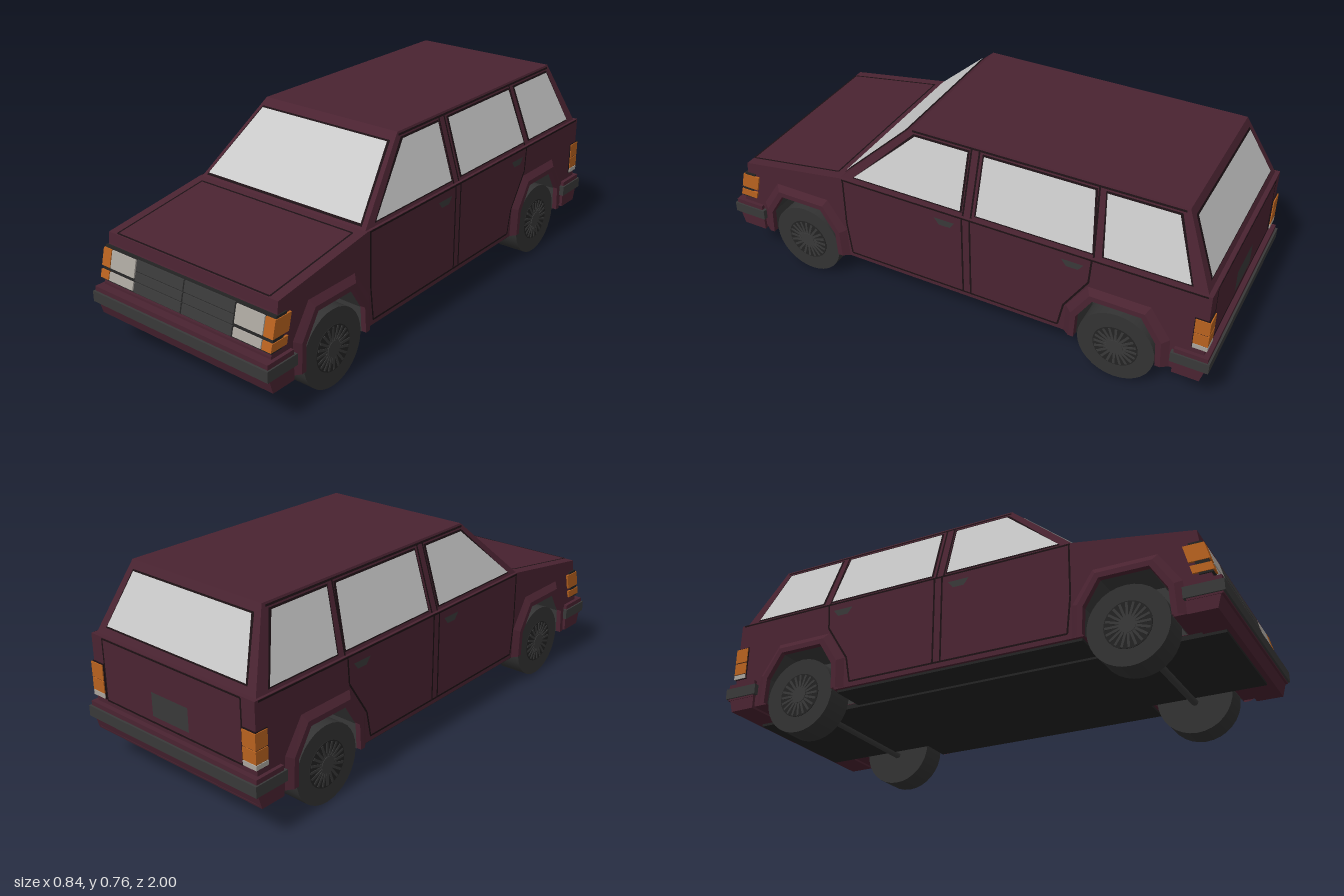
import * as THREE from 'three';

const mat = (name, color) =>
  Object.assign(new THREE.MeshStandardMaterial({ color, side: THREE.DoubleSide }), { name });

export function createModel() {
  const car = new THREE.Group();
  car.name = 'stationWagon';
  const paint = mat('maroonPaint', 0x4a2331);
  const seamMat = mat('seamBlack', 0x1c1014);
  const trim = mat('charcoalTrim', 0x393939);
  const rubber = mat('tyreRubber', 0x333333);
  const under = mat('underbodyBlack', 0x232323);
  const glass = mat('paleGlass', 0xc8c8c8);
  const amber = mat('amberLens', 0xb8621f);
  const clear = mat('clearLens', 0xa9a49d);

  const add = (name, geo, material) => {
    const m = new THREE.Mesh(geo, material);
    m.name = name;
    car.add(m);
    return m;
  };
  const shapeOf = pts => new THREE.Shape(pts.map(p => new THREE.Vector2(...p)));
  // Side profile of [z, y] points extruded from x0 to x1
  const slab = (name, pts, x0, x1, m) => add(name,
    new THREE.ExtrudeGeometry(shapeOf(pts), { depth: x1 - x0, bevelEnabled: false })
      .rotateY(-Math.PI / 2).translate(x1, 0, 0), m);
  const box = (name, x0, x1, y0, y1, z0, z1, m) => add(name,
    new THREE.BoxGeometry(x1 - x0, y1 - y0, z1 - z0)
      .translate((x0 + x1) / 2, (y0 + y1) / 2, (z0 + z1) / 2), m);
  // Flat polygon laid on a surface given by map(u, v, lift)
  const plate = (name, pts, map, lift, m) => {
    const g = new THREE.ShapeGeometry(shapeOf(pts));
    const p = g.attributes.position;
    for (let i = 0; i < p.count; i++) p.setXYZ(i, ...map(p.getX(i), p.getY(i), lift));
    g.computeVertexNormals();
    return add(name, g, m);
  };
  // Thin seam between two points on a surface
  const seam = (name, a, b, map, w = 0.007) => {
    const dx = b[0] - a[0], dy = b[1] - a[1], k = w / 2 / Math.hypot(dx, dy);
    const nx = -dy * k, ny = dx * k;
    plate(name, [[a[0] + nx, a[1] + ny], [b[0] + nx, b[1] + ny],
      [b[0] - nx, b[1] - ny], [a[0] - nx, a[1] - ny]], map, 0.002, seamMat);
  };
  // Flat-faced skin through rows of points
  const skin = (name, rows, m) => {
    const v = [];
    for (let r = 0; r + 1 < rows.length; r++)
      for (let i = 0; i + 1 < rows[r].length; i++) {
        const a = rows[r][i], b = rows[r][i + 1], c = rows[r + 1][i + 1], d = rows[r + 1][i];
        v.push(...a, ...b, ...c, ...a, ...c, ...d);
      }
    const g = new THREE.BufferGeometry();
    g.setAttribute('position', new THREE.Float32BufferAttribute(v, 3));
    g.computeVertexNormals();
    return add(name, g, m);
  };

  // Wheel arch outline, grown by o
  const axles = [0.665, -0.655];
  const arch = (c, o = 0) => [[c - 0.155 - o, 0.14], [c - 0.15 - o, 0.24 + o * 0.5],
    [c - 0.09 - o * 0.6, 0.335 + o], [c + 0.09 + o * 0.6, 0.335 + o],
    [c + 0.15 + o, 0.24 + o * 0.5], [c + 0.155 + o, 0.14]];

  // Lower body: solid centre and two outer slabs with wheel cutouts
  const upper = [[0.965, 0.14], [0.96, 0.255], [0.925, 0.395], [0.92, 0.435],
    [0.48, 0.505], [-0.973, 0.505], [-0.973, 0.14]];
  slab('bodyCentre', upper, -0.25, 0.25, paint);
  const notched = [...upper, ...arch(axles[1]), ...arch(axles[0])];
  slab('bodyLeft', notched, 0.25, 0.4, paint);
  slab('bodyRight', notched, -0.4, -0.25, paint);
  box('floor', -0.25, 0.25, 0.122, 0.139, -0.95, 0.95, under);
  for (const s of [-1, 1])
    box('sillFloor', s < 0 ? -0.39 : 0.25, s < 0 ? -0.25 : 0.39, 0.13, 0.139, -0.49, 0.5, under);

  // Cabin with sloping sides, windscreen and tailgate
  const ring = (y, x, zf, zr) =>
    [[x, y, zf], [-x, y, zf], [-x, y, zr], [x, y, zr], [x, y, zf]];
  const roof = ring(0.76, 0.31, 0.2, -0.84);
  skin('cabin', [ring(0.504, 0.39, 0.48, -0.957), roof], paint);
  skin('roof', [[roof[0], roof[1]], [roof[3], roof[2]]], paint);

  // Surface maps for plates
  const lean = y => Math.max(0, y - 0.505) / 0.255;
  const sideMap = s => (z, y, l) =>
    [s * ((y > 0.505 ? 0.39 - 0.08 * lean(y) : 0.4) + l), y, z];
  const screenMap = (x, y, l) => [x, y + l, 0.48 - 0.28 * lean(y) + l];
  const tailMap = (x, y, l) => [x, y + l * 0.5, -0.957 + 0.117 * lean(y) - l];
  const hoodMap = (x, z, l) => [x, 0.505 - (z - 0.48) * 0.159 + l, z];
  const backMap = (x, y, l) => [x, y, -0.973 - l];

  // Glass over slightly larger black surrounds
  const windowPane = (name, pts, map) => {
    const n = pts.length;
    const cx = pts.reduce((t, p) => t + p[0], 0) / n, cy = pts.reduce((t, p) => t + p[1], 0) / n;
    const grown = pts.map(([u, v]) => [u + Math.sign(u - cx) * 0.007, v + Math.sign(v - cy) * 0.006]);
    plate(name + 'Surround', grown, map, 0.002, seamMat);
    plate(name, pts, map, 0.005, glass);
  };
  windowPane('windscreen', [[-0.363, 0.518], [0.363, 0.518], [0.295, 0.728], [-0.295, 0.728]], screenMap);
  windowPane('rearWindow', [[-0.34, 0.535], [0.34, 0.535], [0.285, 0.725], [-0.285, 0.725]], tailMap);

  for (const s of [-1, 1]) {
    const map = sideMap(s);
    windowPane('frontDoorWindow', [[0.42, 0.522], [0.185, 0.735], [-0.03, 0.735], [-0.03, 0.522]], map);
    windowPane('rearDoorWindow', [[-0.095, 0.522], [-0.095, 0.735], [-0.515, 0.735], [-0.543, 0.522]], map);
    windowPane('quarterWindow', [[-0.585, 0.522], [-0.558, 0.735], [-0.812, 0.735], [-0.895, 0.522]], map);

    // Door seams
    const lines = [[[0.465, 0.5], [0.465, 0.3]], [[0.465, 0.3], [0.45, 0.16]], [[0.45, 0.16], [-0.43, 0.16]],
      [[-0.043, 0.16], [-0.043, 0.504]], [[-0.075, 0.16], [-0.075, 0.504]],
      [[-0.043, 0.506], [-0.043, 0.75]], [[-0.075, 0.506], [-0.075, 0.75]],
      [[-0.548, 0.504], [-0.54, 0.4]], [[-0.54, 0.4], [-0.45, 0.26]], [[-0.45, 0.26], [-0.43, 0.16]],
      [[-0.55, 0.506], [-0.527, 0.75]], [[0.2, 0.75], [-0.83, 0.75]], [[0.47, 0.501], [-0.96, 0.501]]];
    for (const [a, b] of lines) seam('doorSeam', a, b, map);

    // Door handles
    for (const z of [0.025, -0.48])
      plate('doorHandle', [[z - 0.04, 0.47], [z + 0.045, 0.47], [z + 0.025, 0.444], [z - 0.02, 0.444]], map, 0.005, trim);

    for (const c of axles) {
      // Flared arch lip, dark wheel well and liner
      const at = (pts, x) => pts.map(([z, y]) => [s * x, y, z]);
      skin('archFlare', [at(arch(c), 0.399), at(arch(c), 0.418), at(arch(c, 0.02), 0.418), at(arch(c, 0.045), 0.4)], paint);
      skin('archLiner', [at(arch(c, -0.003), 0.25), at(arch(c, -0.003), 0.4)], trim);
      plate('wheelWell', arch(c), (z, y) => [s * 0.253, y, z], 0, trim);

      // Wheel with finned cover
      const wheel = new THREE.Group();
      wheel.name = 'wheel';
      const disc = (name, r, x0, x1, m) => {
        const d = new THREE.Mesh(new THREE.CylinderGeometry(r, r, x1 - x0, 32)
          .rotateZ(Math.PI / 2).translate(s * (x0 + x1) / 2, 0, 0), m);
        d.name = name;
        wheel.add(d);
      };
      disc('tyre', 0.147, 0.29, 0.4, rubber);
      disc('rim', 0.086, 0.395, 0.402, under);
      disc('hub', 0.03, 0.4, 0.406, trim);
      for (let i = 0; i < 20; i++) {
        const fin = new THREE.Mesh(new THREE.BoxGeometry(0.004, 0.055, 0.009).translate(s * 0.402, 0.054, 0), trim);
        fin.name = 'wheelFin';
        fin.rotation.x = i * Math.PI / 10;
        wheel.add(fin);
      }
      wheel.position.set(0, 0.147, c);
      car.add(wheel);
    }
  }
  for (const c of axles)
    add('axle', new THREE.CylinderGeometry(0.014, 0.014, 0.6, 10).rotateZ(Math.PI / 2).translate(0, 0.122, c), trim);

  // Hood, tailgate and windscreen base seams
  const outline = (name, x, v0, v1, map) => {
    seam(name, [-x, v0], [x, v0], map);
    seam(name, [-x, v1], [x, v1], map);
    for (const s of [-1, 1]) seam(name, [s * x, v0], [s * x, v1], map);
  };
  outline('hoodSeam', 0.36, 0.51, 0.915, hoodMap);
  outline('tailgateSeam', 0.34, 0.265, 0.5, backMap);
  plate('plateRecess', [[-0.09, 0.29], [0.09, 0.29], [0.09, 0.38], [-0.09, 0.38]], backMap, 0.004, trim);

  // Nose: parts follow the raked front face
  const noseZ = y => 0.925 + (0.395 - y) * 0.25;
  const nosePart = (name, x0, x1, y0, y1, lift, depth, m) => slab(name,
    [[noseZ(y0) + lift, y0], [noseZ(y1) + lift, y1], [noseZ(y1) - depth, y1], [noseZ(y0) - depth, y0]], x0, x1, m);
  nosePart('grilleFrame', -0.405, 0.405, 0.268, 0.39, 0.008, 0.04, under);
  for (const s of [-1, 1]) {
    const pair = (a, b) => (s > 0 ? [a, b] : [-b, -a]);
    for (const [y0, y1] of [[0.273, 0.306], [0.312, 0.341], [0.347, 0.384]])
      nosePart('grilleBar', ...pair(0.003, 0.234), y0, y1, 0.014, 0.01, trim);
    for (const [y0, y1] of [[0.275, 0.304], [0.318, 0.381]]) {
      nosePart('headlamp', ...pair(0.24, 0.363), y0, y1, 0.014, 0.01, clear);
      nosePart('frontIndicator', ...pair(0.367, 0.408), y0, y1, 0.014, 0.06, amber);
    }
    // Wraparound tail lamps
    box('tailLampBase', ...pair(0.343, 0.403), 0.268, 0.402, -0.978, -0.925, seamMat);
    box('tailLampClear', ...pair(0.346, 0.406), 0.271, 0.288, -0.982, -0.928, clear);
    for (const [y0, y1] of [[0.291, 0.337], [0.341, 0.399]])
      box('tailLampAmber', ...pair(0.346, 0.406), y0, y1, -0.982, -0.928, amber);
  }

  // Bumpers: painted core with wraparound dark strip and tapered apron
  for (const f of [1, -1]) {
    const span = (a, b) => (f > 0 ? [a, b] : [-b, -a]);
    box('bumperCore', -0.414, 0.414, 0.18, 0.246, ...span(0.87, 0.992), paint);
    box('bumperStrip', -0.42, 0.42, 0.187, 0.228, ...span(0.86, 1), trim);
    slab('apron', [[f * 0.985, 0.185], [f * 0.97, 0.132], [f * 0.87, 0.132], [f * 0.87, 0.185]], -0.412, 0.412, paint);
  }
  return car;
}
